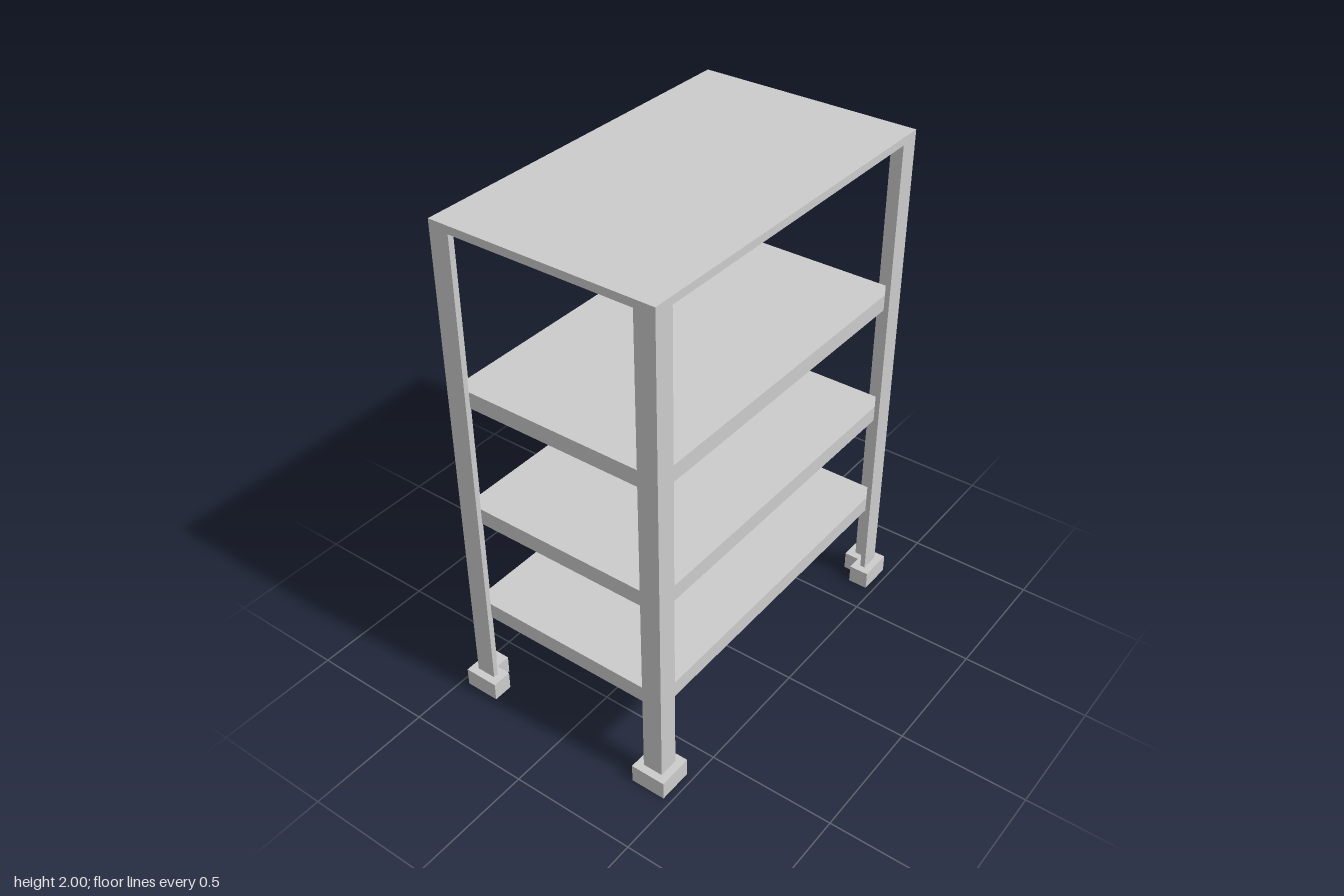
import * as THREE from 'three';

const W = 0.44, D = 0.73;        // half width and half depth of the frame
const LEG = 0.08, T = 0.02;      // angle-iron leg length and thickness
const LIP = 0.03;                // how far a foot stands out around its post
const TOP = 0.03, SHELF = 0.065; // slab thicknesses

const material = new THREE.MeshStandardMaterial({ color: 0xcccccc });

// L-section prism in the +x/+z corner, mirrored by sx and sz
function angle(name, sx, sz, grow, y0, y1) {
  const xo = W + grow, zo = D + grow;
  const xe = W - LEG - grow, ze = D - LEG - grow;
  const xi = W - T - grow, zi = D - T - grow;
  const pts = [[xo, zo], [xe, zo], [xe, zi], [xi, zi], [xi, ze], [xo, ze]]
    .map(([x, z]) => new THREE.Vector2(x * sx, -z * sz));
  const geo = new THREE.ExtrudeGeometry(new THREE.Shape(pts), { depth: y1 - y0, bevelEnabled: false });
  geo.rotateX(-Math.PI / 2).translate(0, y0, 0);
  const mesh = new THREE.Mesh(geo, material);
  mesh.name = name;
  return mesh;
}

function slab(name, w, h, d, top) {
  const mesh = new THREE.Mesh(new THREE.BoxGeometry(w, h, d), material);
  mesh.position.y = top - h / 2;
  mesh.name = name;
  return mesh;
}

export function createModel() {
  const rack = new THREE.Group();
  rack.name = 'shelvingRack';

  // Corner posts with L-shaped feet
  for (const [sx, side] of [[1, 'Left'], [-1, 'Right']]) {
    for (const [sz, end] of [[1, 'front'], [-1, 'back']]) {
      rack.add(angle(`${end}${side}Post`, sx, sz, 0, 0.01, 2 - TOP));
      rack.add(angle(`${end}${side}Foot`, sx, sz, LIP, 0, 0.075));
    }
  }

  // Top board flush with the posts, shelves nested inside them
  rack.add(slab('topBoard', 2 * W, TOP, 2 * D, 2));
  [0.435, 0.88, 1.375].forEach((y, i) =>
    rack.add(slab(`shelf${i + 1}`, 2 * (W - T), SHELF, 2 * (D - T), y)));

  return rack;
}
